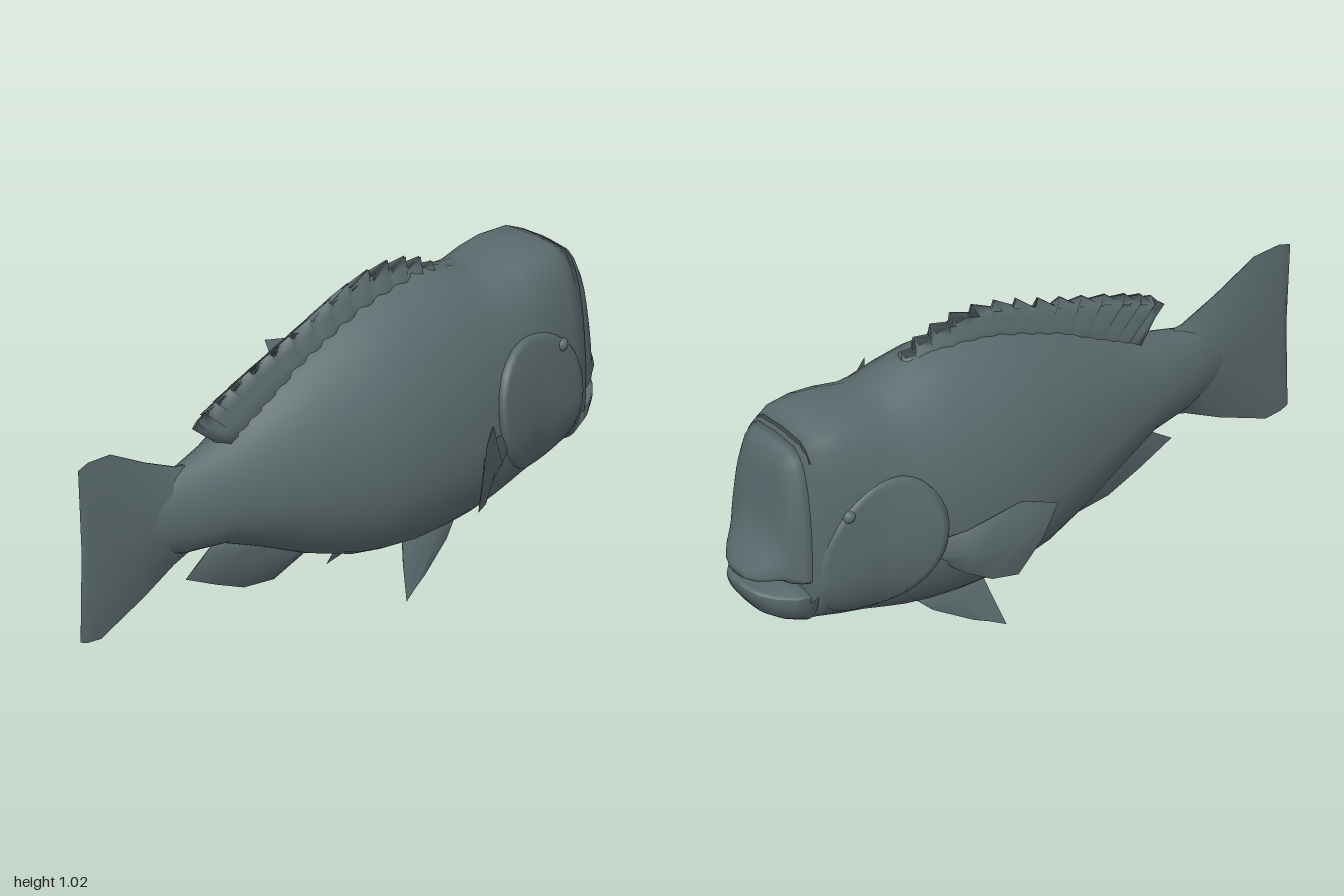
import * as THREE from 'three';

const skin = new THREE.MeshStandardMaterial({ color: 0x5b6b6e, side: THREE.DoubleSide });
skin.name = 'slate skin';

// Skins a list of closed rings of [x, y, z] points and caps both ends
function loft(name, rings) {
  const n = rings[0].length, pos = [], idx = [];
  rings.forEach(r => r.forEach(p => pos.push(...p)));
  for (let i = 0; i < rings.length - 1; i++)
    for (let j = 0; j < n; j++) {
      const a = i * n + j, b = i * n + (j + 1) % n;
      idx.push(a, b, a + n, b, b + n, a + n);
    }
  [0, rings.length - 1].forEach(i => {
    const c = pos.length / 3, r = rings[i];
    for (let k = 0; k < 3; k++) pos.push(r.reduce((s, p) => s + p[k], 0) / n);
    for (let j = 0; j < n; j++) {
      const a = i * n + j, b = i * n + (j + 1) % n;
      idx.push(...(i ? [a, b, c] : [b, a, c]));
    }
  });
  const g = new THREE.BufferGeometry();
  g.setAttribute('position', new THREE.Float32BufferAttribute(pos, 3));
  g.setIndex(idx);
  g.computeVertexNormals();
  const m = new THREE.Mesh(g, skin);
  m.name = name;
  return m;
}

// Section: [z, top, bottom, halfWidth, widestY, upperPower, lowerPower]
function section([z, top, bot, w, ym, pu, pl], n = 36) {
  return Array.from({ length: n }, (_, i) => {
    const a = (i / n) * Math.PI * 2, s = Math.sin(a), c = Math.cos(a);
    const x = w * Math.sign(c) * Math.abs(c) ** (s > 0 ? pu : pl);
    return [x, ym + s * (s > 0 ? top - ym : ym - bot), z];
  });
}

// Fin from rows of points, thickened along dir by t[row]
function fin(name, rows, t, dir) {
  return loft(name, rows.map((row, k) => {
    const side = s => row.map((p, j) => {
      const e = j === 0 || j === row.length - 1 ? 0.12 : 1;
      return p.map((v, i) => v + s * t[k] * e * dir[i]);
    });
    return [...side(1), ...side(-1).reverse()];
  }));
}

const BODY = [
  [0.82, 0.54, 0.44, 0.012, 0.49, 1, 1],
  [0.72, 0.59, 0.40, 0.034, 0.49, 1, 1],
  [0.60, 0.63, 0.36, 0.078, 0.49, 1.1, 1],
  [0.45, 0.67, 0.345, 0.118, 0.49, 1.1, 1],
  [0.30, 0.75, 0.285, 0.165, 0.48, 1.2, 0.9],
  [0.15, 0.83, 0.215, 0.21, 0.47, 1.2, 0.9],
  [0.00, 0.89, 0.165, 0.248, 0.46, 1.2, 0.85],
  [-0.10, 0.925, 0.15, 0.262, 0.46, 1.2, 0.8],
  [-0.20, 0.945, 0.14, 0.27, 0.46, 1.2, 0.8],
  [-0.32, 0.955, 0.142, 0.268, 0.46, 1.15, 0.8],
  [-0.42, 0.935, 0.15, 0.26, 0.46, 1.05, 0.8],
  [-0.50, 0.905, 0.163, 0.25, 0.46, 0.9, 0.8],
  [-0.56, 0.893, 0.178, 0.24, 0.46, 0.75, 0.8],
  [-0.64, 0.903, 0.2, 0.226, 0.46, 0.58, 0.8],
  [-0.72, 0.91, 0.217, 0.212, 0.45, 0.48, 0.8],
  [-0.80, 0.904, 0.24, 0.197, 0.45, 0.43, 0.75],
  [-0.86, 0.875, 0.252, 0.178, 0.44, 0.42, 0.7],
];

// Half width of the body at a given length and height
function bodyWidth(z, y) {
  const i = Math.max(1, BODY.findIndex(s => s[0] <= z));
  const a = BODY[i - 1], b = BODY[i], k = (a[0] - z) / (a[0] - b[0]);
  const [, top, bot, w, ym, pu, pl] = a.map((v, j) => v + (b[j] - v) * k);
  const s = y > ym ? (y - ym) / (top - ym) : (ym - y) / (ym - bot);
  return w * Math.max(0, 1 - s * s) ** ((y > ym ? pu : pl) / 2);
}

export function createModel() {
  const model = new THREE.Group();
  model.name = 'fish';
  const fish = new THREE.Group();
  fish.name = 'fishParts';
  fish.position.x = -0.012;
  model.add(fish);

  fish.add(loft('body', BODY.map(s => section(s))));

  // Forehead and upper jaw
  fish.add(loft('foreheadAndUpperJaw', [
    [-0.84, 0.886, 0.41, 0.183, 0.45, 0.42, 0.5],
    [-0.88, 0.86, 0.415, 0.166, 0.45, 0.42, 0.5],
    [-0.903, 0.82, 0.42, 0.152, 0.455, 0.45, 0.5],
    [-0.914, 0.76, 0.425, 0.145, 0.46, 0.5, 0.5],
    [-0.92, 0.64, 0.43, 0.14, 0.465, 0.55, 0.5],
    [-0.935, 0.57, 0.432, 0.128, 0.465, 0.6, 0.5],
    [-0.96, 0.53, 0.432, 0.106, 0.46, 0.7, 0.5],
    [-0.985, 0.485, 0.43, 0.076, 0.452, 0.8, 0.5],
    [-1.0, 0.458, 0.432, 0.04, 0.445, 1, 0.8],
  ].map(s => section(s))));

  fish.add(loft('lowerJaw', [
    [-0.84, 0.40, 0.25, 0.178, 0.385, 0.5, 0.7],
    [-0.90, 0.393, 0.272, 0.15, 0.38, 0.5, 0.7],
    [-0.945, 0.396, 0.3, 0.116, 0.382, 0.5, 0.7],
    [-0.98, 0.404, 0.345, 0.078, 0.388, 0.5, 0.8],
    [-0.998, 0.408, 0.375, 0.04, 0.395, 0.8, 1],
  ].map(s => section(s))));

  // Tail fin
  const flat = pts => pts.map(([z, y]) => [0, y, z]);
  fish.add(fin('tailFin', [
    [[0.54, 0.63], [0.54, 0.56], [0.54, 0.495], [0.54, 0.43], [0.54, 0.36]],
    [[0.61, 0.64], [0.64, 0.57], [0.66, 0.495], [0.64, 0.42], [0.62, 0.33]],
    [[0.73, 0.695], [0.77, 0.6], [0.78, 0.495], [0.77, 0.39], [0.74, 0.265]],
    [[0.87, 0.77], [0.88, 0.64], [0.89, 0.495], [0.88, 0.34], [0.91, 0.19]],
    [[0.96, 0.775], [0.965, 0.65], [0.965, 0.495], [0.97, 0.33], [0.965, 0.195]],
    [[1.0, 0.762], [0.98, 0.65], [0.978, 0.495], [0.983, 0.35], [0.99, 0.205]],
  ].map(flat), [0.05, 0.04, 0.026, 0.018, 0.01, 0.003], [1, 0, 0]));

  // Spiny dorsal fin: crest heights with alternating teeth
  const crest = new THREE.CatmullRomCurve3(flat([
    [-0.42, 0.93], [-0.33, 0.985], [-0.2, 1.01], [-0.05, 0.985], [0.1, 0.93],
    [0.25, 0.875], [0.4, 0.82], [0.5, 0.775], [0.545, 0.74]]).map(p => new THREE.Vector3(...p)));
  const root = new THREE.CatmullRomCurve3(flat([
    [-0.42, 0.90], [-0.3, 0.92], [-0.15, 0.9], [0, 0.85], [0.12, 0.8],
    [0.25, 0.74], [0.36, 0.68], [0.44, 0.655]]).map(p => new THREE.Vector3(...p)));
  const teeth = 30;
  const dorsalRow = k => Array.from({ length: teeth + 1 }, (_, i) => {
    const a = root.getPoint(i / teeth), b = crest.getPoint(i / teeth);
    const zig = (i % 2 ? 1 : -1) * k * (i < teeth - 2 ? 1 : 0);
    const p = a.lerp(b, k);
    return [zig * 0.011, p.y + zig * 0.013, p.z - zig * 0.006];
  });
  fish.add(fin('dorsalFin', [0, 0.4, 0.7, 1].map(dorsalRow), [0.045, 0.03, 0.018, 0.003], [1, 0, 0]));

  // Anal fin
  fish.add(fin('analFin', [
    [[0.43, 0.355], [0.37, 0.35], [0.28, 0.32], [0.19, 0.27], [0.09, 0.21]],
    [[0.48, 0.325], [0.41, 0.28], [0.31, 0.23], [0.21, 0.195], [0.095, 0.195]],
    [[0.57, 0.262], [0.45, 0.205], [0.34, 0.158], [0.22, 0.143], [0.1, 0.183]],
  ].map(flat), [0.04, 0.024, 0.003], [1, 0, 0]));

  for (const s of [1, -1]) {
    const label = s > 0 ? 'left' : 'right';
    const mirror = rows => rows.map(r => r.map(([x, y, z]) => [s * x, y, z]));

    fish.add(fin(label + 'PectoralFin', mirror([
      [[0.23, 0.45, -0.48], [0.23, 0.42, -0.46], [0.23, 0.37, -0.44]],
      [[0.29, 0.49, -0.39], [0.30, 0.42, -0.37], [0.275, 0.33, -0.375]],
      [[0.40, 0.607, -0.275], [0.385, 0.46, -0.275], [0.32, 0.312, -0.32]],
      [[0.464, 0.603, -0.19], [0.425, 0.47, -0.215], [0.36, 0.322, -0.255]],
    ]), [0.03, 0.028, 0.018, 0.003], [s * 0.76, 0, -0.65]));

    fish.add(fin(label + 'PelvicFin', mirror([
      [[0.08, 0.17, -0.44], [0.09, 0.17, -0.33], [0.1, 0.17, -0.2]],
      [[0.105, 0.105, -0.37], [0.115, 0.1, -0.28], [0.125, 0.1, -0.18]],
      [[0.14, 0.04, -0.25], [0.15, 0.03, -0.21], [0.167, 0.0, -0.153]],
    ]), [0.028, 0.02, 0.003], [s * 0.93, 0.36, 0]));

    // Gill cover: raised patch following the cheek, with a folded rear rim
    const rings = [[0.01, 0], [0.3, 0], [0.55, 0], [0.75, 0], [0.9, 0], [1, 0], [1.01, 1]];
    fish.add(loft(label + 'GillCover', rings.map(([r, rim]) =>
      Array.from({ length: 32 }, (_, i) => {
        const a = (i / 32) * Math.PI * 2;
        const z = -0.64 + 0.2 * r * Math.cos(a);
        const y = 0.49 + (0.04 * Math.cos(a) + 0.22 * Math.sin(a)) * r;
        const lift = rim ? -0.02 : 0.003 + 0.017 * r * Math.max(0, Math.cos(a));
        return [s * (bodyWidth(z, y) + lift), y, z];
      }))));

    const eye = new THREE.Mesh(new THREE.SphereGeometry(0.021, 16, 12), skin);
    eye.name = label + 'Eye';
    eye.position.set(s * (bodyWidth(-0.745, 0.635) - 0.006), 0.635, -0.745);
    fish.add(eye);
  }
  return model;
}
